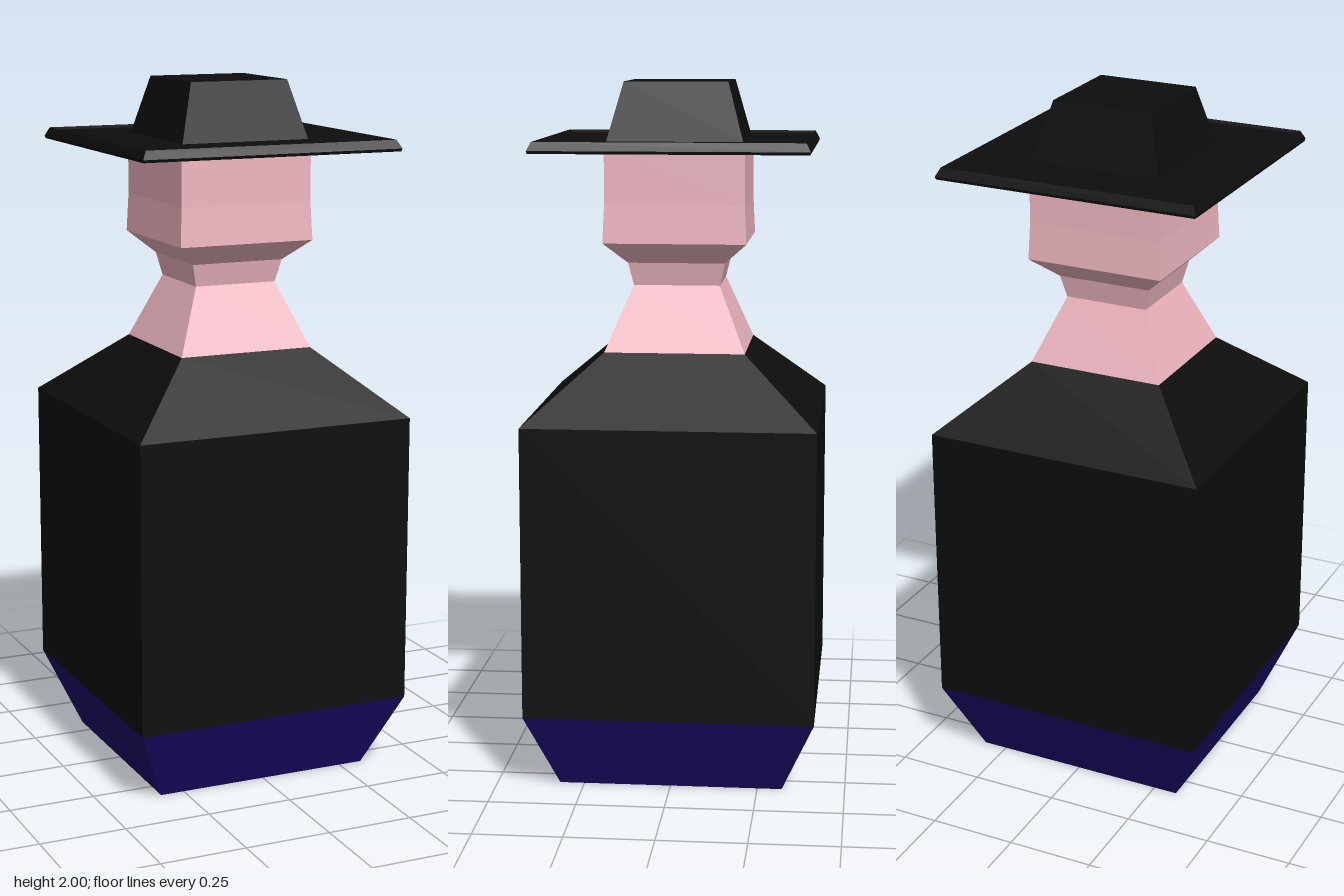
import * as THREE from 'three';

// Square stack of tapered sections: profile of [half width, y], bottom to top
function squareStack(name, profile, color) {
  const points = profile.map(([half, y]) => new THREE.Vector2(half * Math.SQRT2, y));
  const geometry = new THREE.LatheGeometry(points, 4, Math.PI / 4).toNonIndexed();
  geometry.computeVertexNormals();
  const material = new THREE.MeshStandardMaterial({ color, flatShading: true });
  const mesh = new THREE.Mesh(geometry, material);
  mesh.name = name;
  return mesh;
}

export function createModel() {
  const black = 0x0d0d0d, blue = 0x1a0a68, pink = 0xf0b7c2;
  const group = new THREE.Group();
  group.name = 'figure';

  // Tapered foot, closed underneath
  group.add(squareStack('base', [[0, 0], [0.32, 0], [0.413, 0.22]], blue));

  // Coat with sloping shoulders
  group.add(squareStack('body', [[0.413, 0.22], [0.413, 1.055], [0.2, 1.24]], black));

  // Neck, jaw and head in one skin
  group.add(squareStack('neckAndHead', [
    [0.2, 1.24], [0.123, 1.425], [0.138, 1.49], [0.203, 1.55], [0.198, 1.66], [0.198, 1.81],
  ], pink));

  // Hat: underside, brim with a raised rim, crown and flat top
  group.add(squareStack('hat', [
    [0, 1.803], [0.23, 1.803], [0.25, 1.81], [0.385, 1.81], [0.387, 1.818], [0.375, 1.842],
    [0.365, 1.835], [0.192, 1.835], [0.147, 2], [0, 2],
  ], black));

  return group;
}
